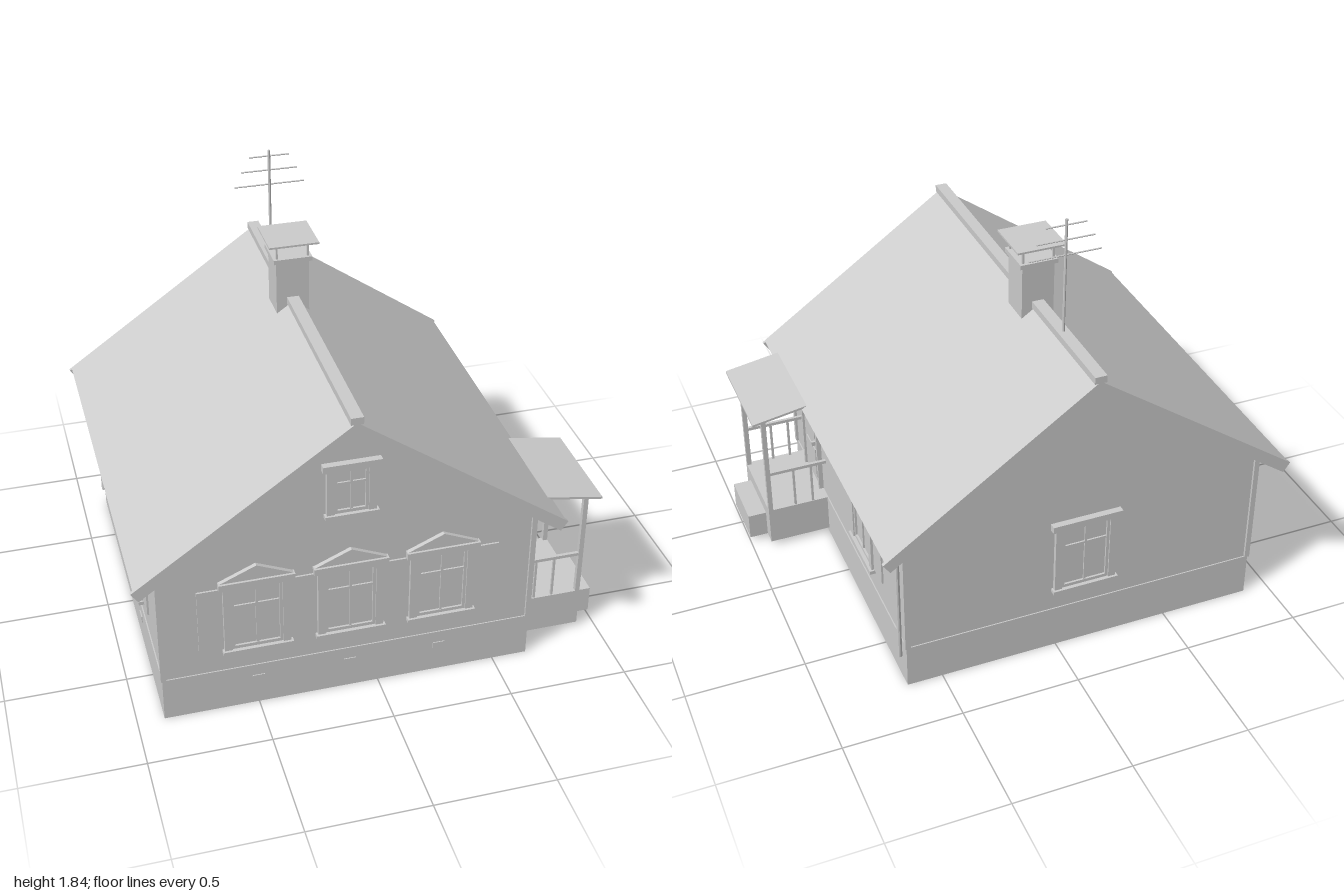
import * as THREE from 'three';

const CX = -0.12;          // house centre line
const HALF = 0.765;        // half width of the walls
const SLOPE = 0.7, RIDGE = 1.33;

export function createModel() {
  const root = new THREE.Group();
  root.name = 'house';
  const mat = new THREE.MeshStandardMaterial({ color: 0xcccccc, flatShading: true });

  const add = (parent, name, geo, x = 0, y = 0, z = 0) => {
    const m = new THREE.Mesh(geo, mat);
    m.name = name;
    m.position.set(x, y, z);
    parent.add(m);
    return m;
  };
  // box given by its limits on each axis
  const box = (parent, name, x0, x1, y0, y1, z0, z1) =>
    add(parent, name, new THREE.BoxGeometry(x1 - x0, y1 - y0, z1 - z0),
      (x0 + x1) / 2, (y0 + y1) / 2, (z0 + z1) / 2);
  const prism = (pts, depth) => new THREE.ExtrudeGeometry(
    new THREE.Shape(pts.map(p => new THREE.Vector2(...p))), { depth, bevelEnabled: false });
  const group = (name, x = 0, y = 0, z = 0, ry = 0) => {
    const g = new THREE.Group();
    g.name = name;
    g.position.set(x, y, z);
    g.rotation.y = ry;
    root.add(g);
    return g;
  };

  // Foundation and gabled walls
  box(root, 'foundation', CX - 0.77, CX + 0.77, 0.005, 0.2, -0.77, 0.77);
  const wallTop = RIDGE - 0.045 - SLOPE * HALF;
  add(root, 'walls', prism([[-HALF, 0.2], [HALF, 0.2], [HALF, wallTop],
    [0, RIDGE - 0.045], [-HALF, wallTop]], 2 * HALF), CX, 0, -HALF);
  for (const sx of [-1, 1]) for (const sz of [-1, 1])
    add(root, 'cornerBoard', new THREE.BoxGeometry(0.022, 0.54, 0.022),
      CX + sx * HALF, 0.47, sz * HALF);

  // Roof: chevron section with square-cut eaves
  const chevron = (half, t, depth) => {
    const n = Math.hypot(1, SLOPE), y = RIDGE - SLOPE * half;
    const ex = half - t * SLOPE / n, ey = y - t / n;
    return prism([[0, RIDGE], [-half, y], [-ex, ey], [0, RIDGE - t * n], [ex, ey], [half, y]], depth);
  };
  add(root, 'roof', chevron(0.866, 0.032, 1.67), CX, 0, -0.835);
  for (const z of [-0.845, 0.83])
    add(root, 'bargeBoards', chevron(0.876, 0.05, 0.015), CX, 0, z);
  box(root, 'ridgeCap', CX - 0.025, CX + 0.025, 1.322, 1.352, -0.845, 0.845);

  // Chimney with a rain cover on four legs
  const chimney = group('chimney', CX, 0, -0.183);
  box(chimney, 'stack', -0.069, 0.069, 1.15, 1.515, -0.069, 0.069);
  box(chimney, 'collar', -0.081, 0.081, 1.513, 1.532, -0.081, 0.081);
  for (const sx of [-1, 1]) for (const sz of [-1, 1])
    add(chimney, 'coverLeg', new THREE.BoxGeometry(0.008, 0.066, 0.008), sx * 0.065, 1.564, sz * 0.065);
  box(chimney, 'cover', -0.104, 0.104, 1.596, 1.604, -0.104, 0.104);

  // Antenna
  const antenna = group('antenna', CX, 0, -0.5);
  add(antenna, 'mast', new THREE.CylinderGeometry(0.006, 0.006, 0.53, 8), 0, 1.575, 0);
  for (const [y, half] of [[1.815, 0.085], [1.752, 0.12], [1.687, 0.15]])
    add(antenna, 'crossbar', new THREE.CylinderGeometry(0.003, 0.003, 2 * half, 6), 0, y, 0)
      .rotation.z = Math.PI / 2;

  // Windows, built facing local +z with the wall at z = 0
  const addWindow = (g, w, y0, y1, barY, { pediment = false, shutters = false } = {}) => {
    const c = 0.032, inner = w - c;
    for (const s of [-1, 1]) {
      add(g, 'casing', new THREE.BoxGeometry(c, y1 - y0, 0.018), s * (w - c / 2), (y0 + y1) / 2, 0.009);
      add(g, 'sashStile', new THREE.BoxGeometry(0.012, y1 - y0, 0.012), s * (inner - 0.006), (y0 + y1) / 2, 0.006);
      if (shutters)
        add(g, 'shutter', new THREE.BoxGeometry(0.1, y1 - y0 - 0.008, 0.008),
          s * (w + 0.052), (y0 + y1) / 2, 0.004);
    }
    box(g, 'glass', -inner, inner, y0, y1, -0.004, 0.003);
    box(g, 'sashTop', -inner, inner, y1 - 0.014, y1, 0, 0.012);
    box(g, 'sashBottom', -inner, inner, y0, y0 + 0.014, 0, 0.012);
    box(g, 'mullion', -0.005, 0.005, y0, y1, 0, 0.01);
    box(g, 'transom', -inner, inner, barY - 0.005, barY + 0.005, 0, 0.01);
    box(g, 'sill', -w - 0.008, w + 0.008, y0 - 0.016, y0, 0, 0.028);
    box(g, 'hood', -w - 0.017, w + 0.017, y1, y1 + 0.03, 0, 0.028);
    if (pediment)
      add(g, 'pediment', prism([[-w - 0.012, y1 + 0.03], [w + 0.012, y1 + 0.03], [0, y1 + 0.094]], 0.018));
  };
  const full = { pediment: true, shutters: true };
  for (const x of [-0.5, CX, 0.26])
    addWindow(group('frontWindow', x, 0, HALF), 0.135, 0.308, 0.613, 0.515, full);
  addWindow(group('atticWindow', CX, 0, HALF), 0.1, 0.885, 1.087, 1.02);
  addWindow(group('backWindow', CX, 0, -HALF, Math.PI), 0.135, 0.308, 0.613, 0.515);
  addWindow(group('leftWindow', CX + HALF, 0, -0.25, Math.PI / 2), 0.135, 0.308, 0.613, 0.515, full);
  for (const z of [-0.25, 0.25])
    addWindow(group('rightWindow', CX - HALF, 0, z, -Math.PI / 2), 0.135, 0.308, 0.613, 0.515, full);

  // Foundation vents
  const vent = (x, z, ry) => box(group('vent', x, 0, z, ry), 'ventCover', -0.025, 0.025, 0.118, 0.147, -0.004, 0.004);
  for (const x of [-0.5, CX, 0.26]) vent(x, 0.77, 0);
  for (const z of [-0.27, 0.27]) vent(CX - 0.77, z, -Math.PI / 2);

  // Downpipes with an elbow under the eaves
  for (const s of [-1, 1]) {
    const pipe = group('downpipe', CX + s * 0.781, 0, -0.715);
    add(pipe, 'pipe', new THREE.CylinderGeometry(0.01, 0.01, 0.55, 10), 0, 0.395, 0);
    add(pipe, 'elbow', new THREE.CylinderGeometry(0.01, 0.01, 0.06, 10), s * 0.025, 0.665, 0)
      .rotation.z = Math.PI / 2;
  }

  // Door with two panels, facing local +z
  const wallX = CX + HALF;
  const door = group('door', wallX, 0, 0.475, Math.PI / 2);
  box(door, 'doorLeaf', -0.1, 0.1, 0.2, 0.638, -0.004, 0.01);
  for (const s of [-1, 1])
    add(door, 'doorJamb', new THREE.BoxGeometry(0.018, 0.455, 0.02), s * 0.108, 0.4275, 0.01);
  box(door, 'doorHead', -0.117, 0.117, 0.637, 0.655, 0, 0.02);
  for (const [y0, y1] of [[0.23, 0.38], [0.44, 0.6]])
    box(door, 'doorPanel', -0.067, 0.067, y0, y1, 0.008, 0.015);
  box(door, 'handle', 0.062, 0.074, 0.41, 0.43, 0.008, 0.03);

  // Meter box beside the door
  box(root, 'meterBox', wallX - 0.004, wallX + 0.03, 0.572, 0.62, 0.143, 0.23);

  // Porch: platform, step, posts, railings and sloping canopy
  const porch = group('porch');
  box(porch, 'platform', wallX, 0.92, 0.028, 0.2, 0.286, 0.672);
  box(porch, 'step', 0.92, 1.0, 0.028, 0.145, 0.35, 0.608);
  for (const z of [0.295, 0.662]) {
    box(porch, 'post', 0.9, 0.92, 0.2, 0.7, z - 0.01, z + 0.01);
    box(porch, 'rail', wallX, 0.91, 0.386, 0.4, z - 0.007, z + 0.007);
    for (const x of [0.715, 0.795])
      box(porch, 'baluster', x - 0.005, x + 0.005, 0.2, 0.39, z - 0.005, z + 0.005);
  }
  add(porch, 'canopy', prism([[0.66, 0.74], [0.965, 0.688], [0.965, 0.698], [0.66, 0.75]], 0.452), 0, 0, 0.25);

  return root;
}
